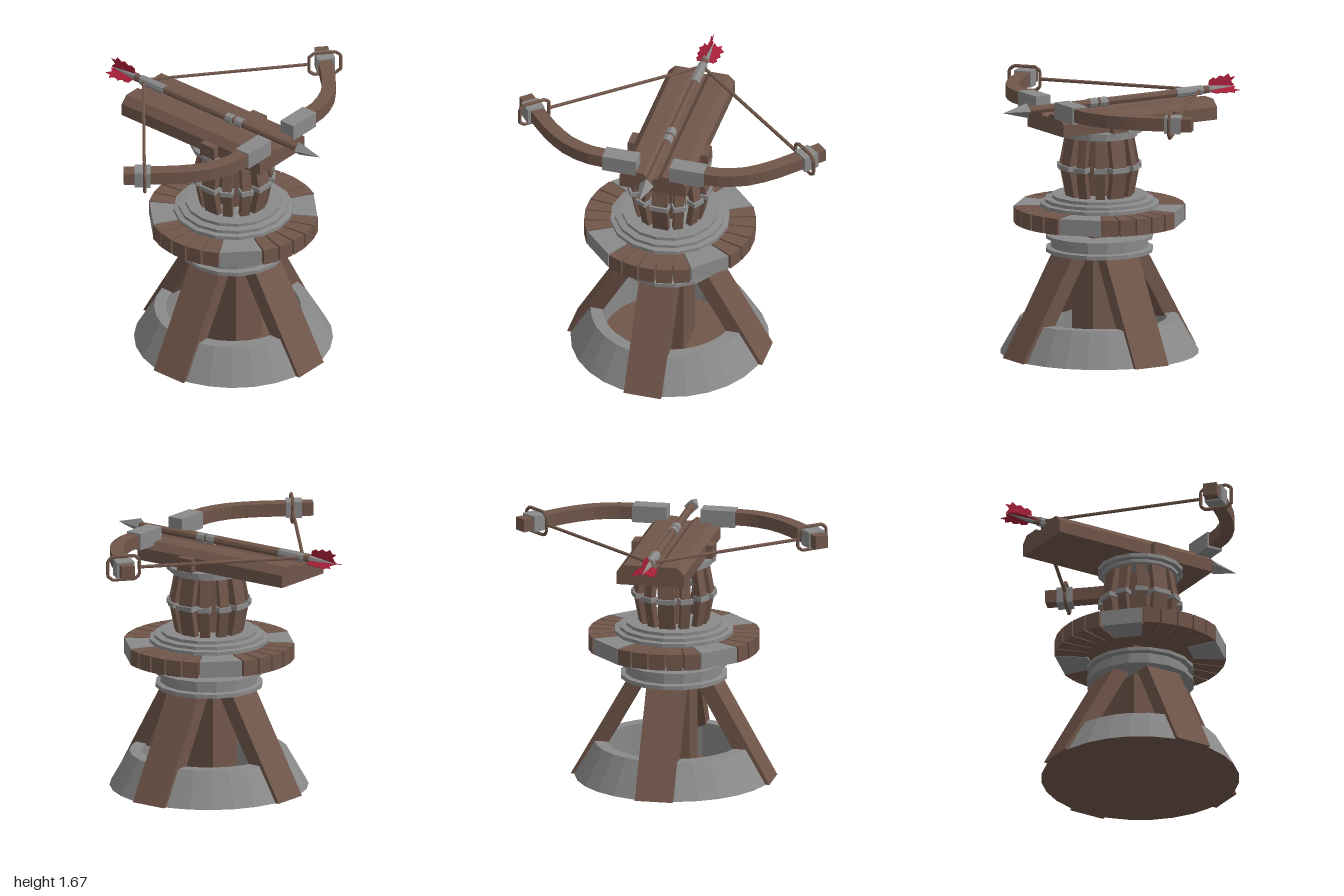
import * as THREE from 'three';

const wood = new THREE.MeshStandardMaterial({ color: 0x70564a });
const metal = new THREE.MeshStandardMaterial({ color: 0x8a8a8a });
const red = new THREE.MeshStandardMaterial({ color: 0xa51f38, side: THREE.DoubleSide });
wood.name = 'wood';
metal.name = 'metal';
red.name = 'redFeather';

// Faceted normals for the low-poly look
function flat(geo) {
  const g = geo.index ? geo.toNonIndexed() : geo;
  g.computeVertexNormals();
  return g;
}

function add(parent, name, geo, mat, x = 0, y = 0, z = 0) {
  const mesh = new THREE.Mesh(flat(geo), mat);
  mesh.name = name;
  mesh.position.set(x, y, z);
  parent.add(mesh);
  return mesh;
}

function extrude(points, depth) {
  const shape = new THREE.Shape(points.map(([x, y]) => new THREE.Vector2(x, y)));
  return new THREE.ExtrudeGeometry(shape, { depth, bevelEnabled: false });
}

// (radius, y) outline given a width, turned around the tower axis
const radial = (points, width, angle) =>
  extrude(points, width).translate(0, 0, -width / 2).rotateY(angle);

// (x, z) outline raised from y0 to y1
const slab = (points, y0, y1) =>
  extrude(points.map(([x, z]) => [x, -z]), y1 - y0).rotateX(-Math.PI / 2).translate(0, y0, 0);

const lathe = (points, sides) =>
  new THREE.LatheGeometry(points.map(([r, y]) => new THREE.Vector2(r, y)), sides);

// Cylinder or cone lying along x
const rod = (x0, x1, r0, r1, sides) =>
  new THREE.CylinderGeometry(r1, r0, x1 - x0, sides).rotateZ(-Math.PI / 2).translate((x0 + x1) / 2, 0, 0);

function buildTower() {
  const tower = new THREE.Group();
  tower.name = 'tower';
  tower.position.x = 0.14;

  // Base ring, floor, central post and four leaning legs
  add(tower, 'baseRing', lathe([[0.62, 0], [0.495, 0.22], [0.42, 0.22], [0.42, 0.004]], 28), metal);
  add(tower, 'baseFloor', new THREE.CylinderGeometry(0.615, 0.618, 0.006, 28), wood, 0, 0.003);
  add(tower, 'centralPost', new THREE.BoxGeometry(0.25, 0.84, 0.25), wood, 0, 0.42);
  for (let i = 0; i < 4; i++) {
    add(tower, 'leg', radial([[0.632, 0], [0.247, 0.68], [0.137, 0.68], [0.52, 0]], 0.24, i * Math.PI / 2), wood);
  }

  // Collar over the legs
  add(tower, 'collar', lathe([[0, 0.64], [0.337, 0.64], [0.337, 0.665], [0.305, 0.67], [0.305, 0.72],
    [0.337, 0.725], [0.337, 0.747], [0, 0.747]], 16), metal);

  // Turntable rim: one metal block and five wooden blocks in each quarter
  add(tower, 'turntableCore', new THREE.CylinderGeometry(0.47, 0.47, 0.075, 24), wood, 0, 0.877);
  const block = (name, deg, half, r, mat) => {
    const pts = [[0.33, -half], [r, -half], [r, half], [0.33, half]].map(([radius, d]) => {
      const a = THREE.MathUtils.degToRad(deg + d);
      return [radius * Math.cos(a), radius * Math.sin(a)];
    });
    add(tower, name, slab(pts, 0.826, 0.928), mat);
  };
  for (let q = 0; q < 4; q++) {
    block('metalRimBlock', q * 90 + 45, 14.5, 0.53, metal);
    for (let k = -2; k <= 2; k++) block('woodRimBlock', q * 90 + k * 12, 5.4, 0.535, wood);
  }
  add(tower, 'turntablePlate', lathe([[0, 0.92], [0.374, 0.92], [0.374, 0.95], [0.343, 0.955], [0.343, 0.975],
    [0.3, 0.98], [0.3, 1.0], [0, 1.0]], 16), metal);

  // Cage of bent staves with metal bands
  add(tower, 'cageCore', new THREE.CylinderGeometry(0.1, 0.1, 0.42, 8).rotateY(Math.PI / 8), wood, 0, 1.19);
  for (let i = 0; i < 12; i++) {
    const angle = i * Math.PI / 6;
    const width = i % 3 === 0 ? 0.1 : 0.06;
    add(tower, 'stave', radial([[0.212, 0.99], [0.25, 1.185], [0.212, 1.39], [0.17, 1.39], [0.205, 1.185],
      [0.17, 0.99]], width, angle), wood);
    add(tower, 'staveBand', radial([[0.262, 1.17], [0.262, 1.2], [0.195, 1.2], [0.195, 1.17]], width + 0.02, angle), metal);
  }
  add(tower, 'topRing', lathe([[0, 1.375], [0.24, 1.375], [0.24, 1.395], [0.268, 1.4], [0.268, 1.425],
    [0, 1.425]], 16), metal);
  add(tower, 'saddle', new THREE.BoxGeometry(0.11, 0.1, 0.515), wood, 0, 1.46);
  return tower;
}

// Curved arm outline: offset a centre line to both sides
function armOutline(side) {
  const curve = new THREE.SplineCurve([[0.483, 0.2], [0.483, 0.32], [0.473, 0.44], [0.42, 0.58], [0.32, 0.71],
    [0.2, 0.825], [0.05, 0.96]].map(([x, z]) => new THREE.Vector2(x, z)));
  const outer = [], inner = [];
  for (let i = 0; i <= 10; i++) {
    const p = curve.getPoint(i / 10);
    const t = curve.getTangent(i / 10).multiplyScalar(0.043);
    outer.push([p.x + t.y, side * (p.y - t.x)]);
    inner.unshift([p.x - t.y, side * (p.y + t.x)]);
  }
  return [...outer, ...inner];
}

function buildBow() {
  const bow = new THREE.Group();
  bow.name = 'bow';

  // Stock with chamfered edges and an arrow groove
  const half = [[0.215, 1.43], [0.215, 1.51], [0.17, 1.555], [0.06, 1.555], [0.03, 1.53]];
  const profile = [...half, ...half.map(([z, y]) => [-z, y]).reverse()];
  add(bow, 'stock', extrude(profile, 1.122).rotateY(Math.PI / 2), wood, -0.587);

  for (const side of [1, -1]) {
    add(bow, 'arm', slab(armOutline(side), 1.545, 1.627), wood);
    add(bow, 'armBracket', new THREE.BoxGeometry(0.105, 0.106, 0.218), metal, 0.483, 1.583, side * 0.217);
    const clamp = add(bow, 'tipClamp', new THREE.BoxGeometry(0.1, 0.102, 0.112), metal, 0.142, 1.586, side * 0.885);
    clamp.rotation.y = side * 0.68;

    // String loop around the arm, then the drawn string to the arrow
    const corners = [[-0.1, 0.05], [-0.07, 0.075], [0.07, 0.075], [0.1, 0.05],
      [0.1, -0.05], [0.07, -0.075], [-0.07, -0.075], [-0.1, -0.05]];
    const path = new THREE.CurvePath();
    const points = corners.map(([u, v]) => new THREE.Vector3(0.15 + u * 0.65, 1.586 + v, side * (0.875 + u * 0.76)));
    points.forEach((p, i) => path.add(new THREE.LineCurve3(p, points[(i + 1) % points.length])));
    add(bow, 'stringLoop', new THREE.TubeGeometry(path, 48, 0.011, 6, true), wood);
    const string = new THREE.LineCurve3(new THREE.Vector3(0.085, 1.586, side * 0.8), new THREE.Vector3(-0.575, 1.582, side * 0.02));
    add(bow, 'string', new THREE.TubeGeometry(string, 1, 0.011, 6), wood);
  }
  return bow;
}

function buildArrow() {
  const arrow = new THREE.Group();
  arrow.name = 'arrow';
  arrow.position.y = 1.58;
  add(arrow, 'shaft', rod(-0.66, 0.68, 0.025, 0.025, 8), wood);
  add(arrow, 'head', rod(0.67, 0.843, 0.047, 0, 4), metal);
  add(arrow, 'nock', rod(-0.83, -0.65, 0.004, 0.026, 8), metal);
  add(arrow, 'sleeve', rod(-0.605, -0.415, 0.031, 0.031, 8), metal);
  for (const x of [0.09, 0.165]) add(arrow, 'shaftBand', rod(x, x + 0.055, 0.031, 0.031, 8), metal);

  // Three ragged feathers
  const vane = [[-0.655, 0.005], [-0.66, 0.055], [-0.69, 0.07], [-0.71, 0.06], [-0.74, 0.078], [-0.77, 0.066],
    [-0.8, 0.085], [-0.815, 0.06], [-0.848, 0.06], [-0.82, 0.035], [-0.845, 0.005]];
  for (const angle of [0, 1.85, -1.85]) {
    add(arrow, 'feather', extrude(vane, 0.004).translate(0, 0, -0.002).rotateX(angle), red);
  }
  return arrow;
}

export function createModel() {
  const model = new THREE.Group();
  model.name = 'mountedCrossbow';
  model.add(buildTower(), buildBow(), buildArrow());
  return model;
}
